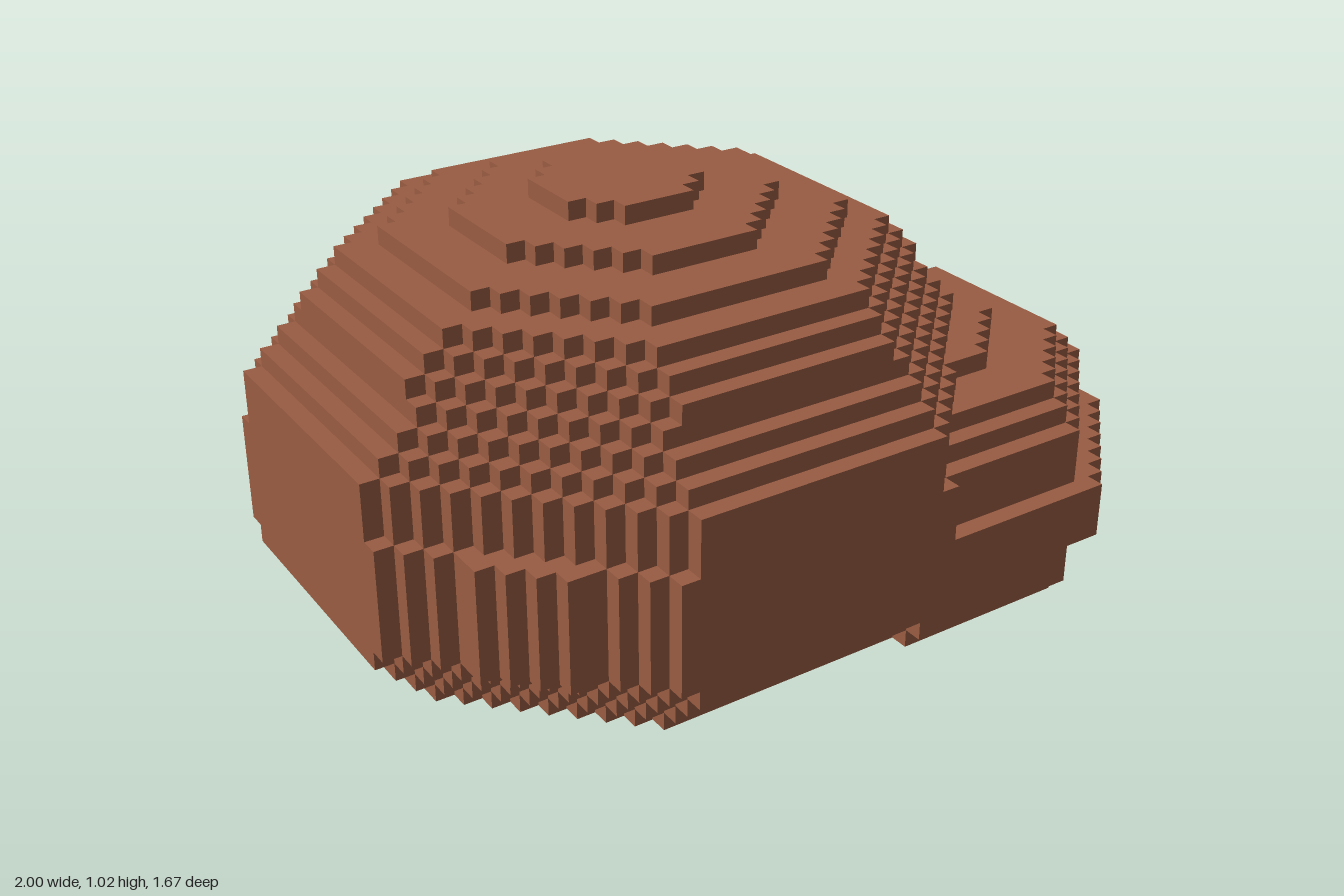
import * as THREE from 'three';

const S = 2 / 43;           // edge of one cube
const NX = 43, NY = 22, NZ = 36;

// Each layer, bottom to top: [radius, limit of the 45 degree cut], in cubes
const wide = [18, 25.4], shoulder = [18, 24];
const main = {
  cx: 18, cz: 18,
  layers: [
    [15, 21], [16, 22], [17, 23], shoulder,
    wide, wide, wide, wide, wide, wide,
    shoulder, shoulder, shoulder,
    [17, 23], [16, 22], [15, 21], [15, 20], [14, 19], [13, 18], [11, 15], [8, 10], [4, 5],
  ],
};
const side = {
  cx: 30, cz: 23,
  layers: [
    [11, 15], [12, 16], [12, 16], [12, 16],
    [13, 18], [13, 18], [13, 18],
    [12, 16], [12, 16], [12, 16],
    [11, 15], [10, 14], [7, 9],
  ],
};

// Is the cube inside the stepped octagon of this boulder?
function inside(b, i, j, k) {
  const layer = b.layers[j];
  if (!layer) return false;
  const dx = Math.abs(i + 0.5 - b.cx), dz = Math.abs(k + 0.5 - b.cz);
  const bulge = layer === wide && Math.abs(dx - dz) <= 3 ? 1 : 0;
  return dx < layer[0] && dz < layer[0] && dx + dz <= layer[1] + bulge;
}
const solid = (i, j, k) => inside(main, i, j, k) || inside(side, i, j, k);

// Surface of the cubes picked by owns(), leaving out faces between cubes
function cubeSurface(owns) {
  const pos = [], nor = [];
  const face = (cell, axis, sign) => {
    const u = (axis + 1) % 3, v = (axis + 2) % 3;
    const quad = [[0, 0], [1, 0], [1, 1], [0, 1]].map(([a, b]) => {
      const p = [...cell];
      p[axis] += sign > 0 ? 1 : 0;
      p[u] += a;
      p[v] += b;
      return [(p[0] - NX / 2) * S, p[1] * S, (p[2] - NZ / 2) * S];
    });
    const n = [0, 0, 0];
    n[axis] = sign;
    for (const c of sign > 0 ? [0, 1, 2, 0, 2, 3] : [0, 2, 1, 0, 3, 2]) {
      pos.push(...quad[c]);
      nor.push(...n);
    }
  };
  for (let i = 0; i < NX; i++)
    for (let j = 0; j < NY; j++)
      for (let k = 0; k < NZ; k++) {
        if (!owns(i, j, k)) continue;
        for (let axis = 0; axis < 3; axis++)
          for (const sign of [-1, 1]) {
            const next = [i, j, k];
            next[axis] += sign;
            if (!solid(...next)) face([i, j, k], axis, sign);
          }
      }
  const geo = new THREE.BufferGeometry();
  geo.setAttribute('position', new THREE.Float32BufferAttribute(pos, 3));
  geo.setAttribute('normal', new THREE.Float32BufferAttribute(nor, 3));
  return geo;
}

export function createModel() {
  const group = new THREE.Group();
  group.name = 'rock';
  const stone = new THREE.MeshStandardMaterial({ color: 0x9a5c43 });
  stone.name = 'redBrownStone';

  // Large domed boulder
  const big = new THREE.Mesh(cubeSurface((i, j, k) => inside(main, i, j, k)), stone);
  big.name = 'mainBoulder';

  // Low boulder leaning on its front left
  const small = new THREE.Mesh(
    cubeSurface((i, j, k) => inside(side, i, j, k) && !inside(main, i, j, k)), stone);
  small.name = 'sideBoulder';

  group.add(big, small);
  return group;
}
